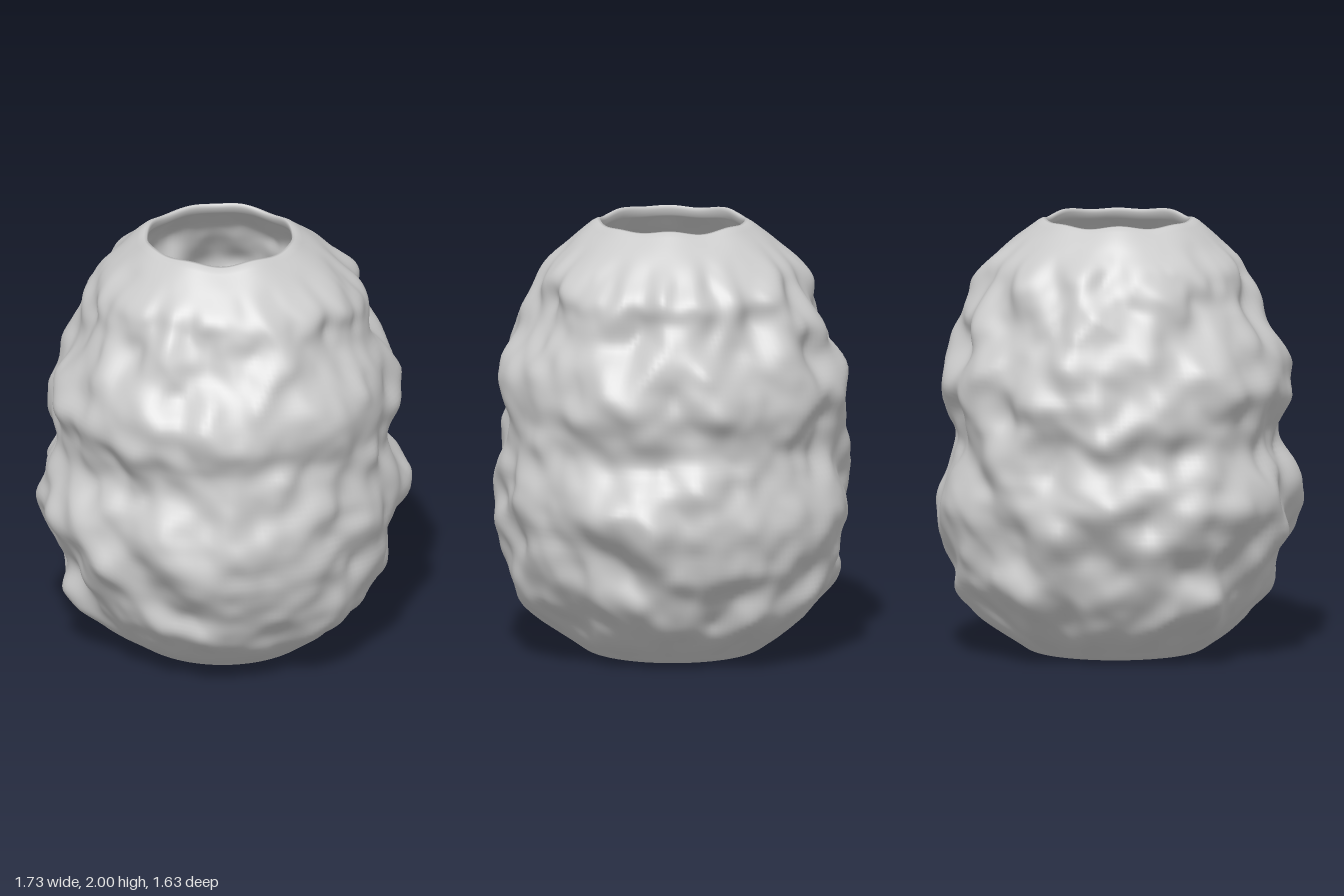
import * as THREE from 'three';
import { mergeVertices } from 'three/addons/utils/BufferGeometryUtils.js';

// Seeded lattice value in -1..1
function lattice(x, y, z) {
  let h = Math.imul(x, 374761393) ^ Math.imul(y, 668265263) ^ Math.imul(z, 2146508937);
  h = Math.imul(h ^ (h >>> 13), 1274126177);
  h = Math.imul(h ^ (h >>> 15), 2246822519);
  return ((h ^ (h >>> 16)) >>> 0) / 2147483648 - 1;
}

// Smooth 3D value noise
function noise(p) {
  const i = Math.floor(p.x), j = Math.floor(p.y), k = Math.floor(p.z);
  const s = (t) => t * t * (3 - 2 * t);
  const u = s(p.x - i), v = s(p.y - j), w = s(p.z - k);
  let sum = 0;
  for (let a = 0; a < 2; a++) for (let b = 0; b < 2; b++) for (let c = 0; c < 2; c++) {
    sum += lattice(i + a, j + b, k + c) * (a ? u : 1 - u) * (b ? v : 1 - v) * (c ? w : 1 - w);
  }
  return sum;
}

// Mean outer radius against height
const profile = [
  [0.365, 0.003], [0.4, 0.012], [0.45, 0.045], [0.53, 0.105], [0.625, 0.2], [0.7, 0.3], [0.742, 0.42],
  [0.79, 0.56], [0.822, 0.72], [0.805, 0.84], [0.762, 0.98], [0.775, 1.1], [0.795, 1.22],
  [0.755, 1.36], [0.69, 1.5], [0.653, 1.62], [0.62, 1.72], [0.56, 1.81], [0.46, 1.9], [0.365, 1.975],
].map(([r, y]) => new THREE.Vector2(r, y));

const WALL = 0.04, FLOOR = 0.05;
const { smoothstep } = THREE.MathUtils;

export function createModel() {
  const curve = new THREE.SplineCurve(profile);
  const STEPS = 110;

  // Closed section: underside, outer wall, rim, inner wall, floor
  const section = [new THREE.Vector2(0, 0), new THREE.Vector2(0.325, 0), new THREE.Vector2(0.335, 0), ...curve.getPoints(STEPS)];
  for (const [r, y] of [[0.345, 1.986], [0.332, 1.988], [0.328, 1.97]]) section.push(new THREE.Vector2(r, y));
  for (let i = STEPS; i >= 0; i--) {
    const p = curve.getPoint(i / STEPS), t = curve.getTangent(i / STEPS);
    p.add(new THREE.Vector2(-t.y, t.x).multiplyScalar(WALL));
    if (p.y > FLOOR + 0.02) section.push(p);
  }
  section.push(new THREE.Vector2(0.36, FLOOR), new THREE.Vector2(0, FLOOR));

  let geometry = new THREE.LatheGeometry(section, 200);
  const pos = geometry.attributes.position;
  const tilt = new THREE.Euler(0.6, 0.4, 0.75);
  const p = new THREE.Vector3(), q = new THREE.Vector3();
  for (let i = 0; i < pos.count; i++) {
    p.fromBufferAttribute(pos, i);
    const r = Math.hypot(p.x, p.z);
    if (r < 1e-4) continue;
    const cx = p.x / r, cz = p.z / r;
    // Lumps fade towards the base and the mouth
    const fade = smoothstep(p.y, 0.01, 0.24) * (1 - smoothstep(p.y, 1.72, 1.95));
    q.set(cx * 0.78, p.y, cz * 0.78).applyEuler(tilt).multiplyScalar(6).addScalar(9.3);
    const lumps = 0.058 * noise(q) + 0.012 * noise(q.multiplyScalar(1.9));
    const k = 1 + (fade * lumps) / r;
    // Gentle waves and a slight sideways shift at the rim
    const rim = smoothstep(p.y, 1.86, 1.98);
    const a = Math.atan2(cx, cz);
    const wave = rim * 0.005 * (Math.sin(a * 5 + 1) + Math.sin(a * 8 + 2));
    pos.setXYZ(i, p.x * k - 0.015 * rim, p.y + wave, p.z * k);
  }

  // Weld the seam for continuous smooth shading
  geometry.deleteAttribute('uv');
  geometry.deleteAttribute('normal');
  geometry = mergeVertices(geometry, 1e-5);
  geometry.computeVertexNormals();

  const vase = new THREE.Mesh(geometry, new THREE.MeshStandardMaterial({ color: 0xcccccc }));
  vase.name = 'lumpyVase';
  const group = new THREE.Group();
  group.name = 'vase';
  group.add(vase);
  return group;
}
